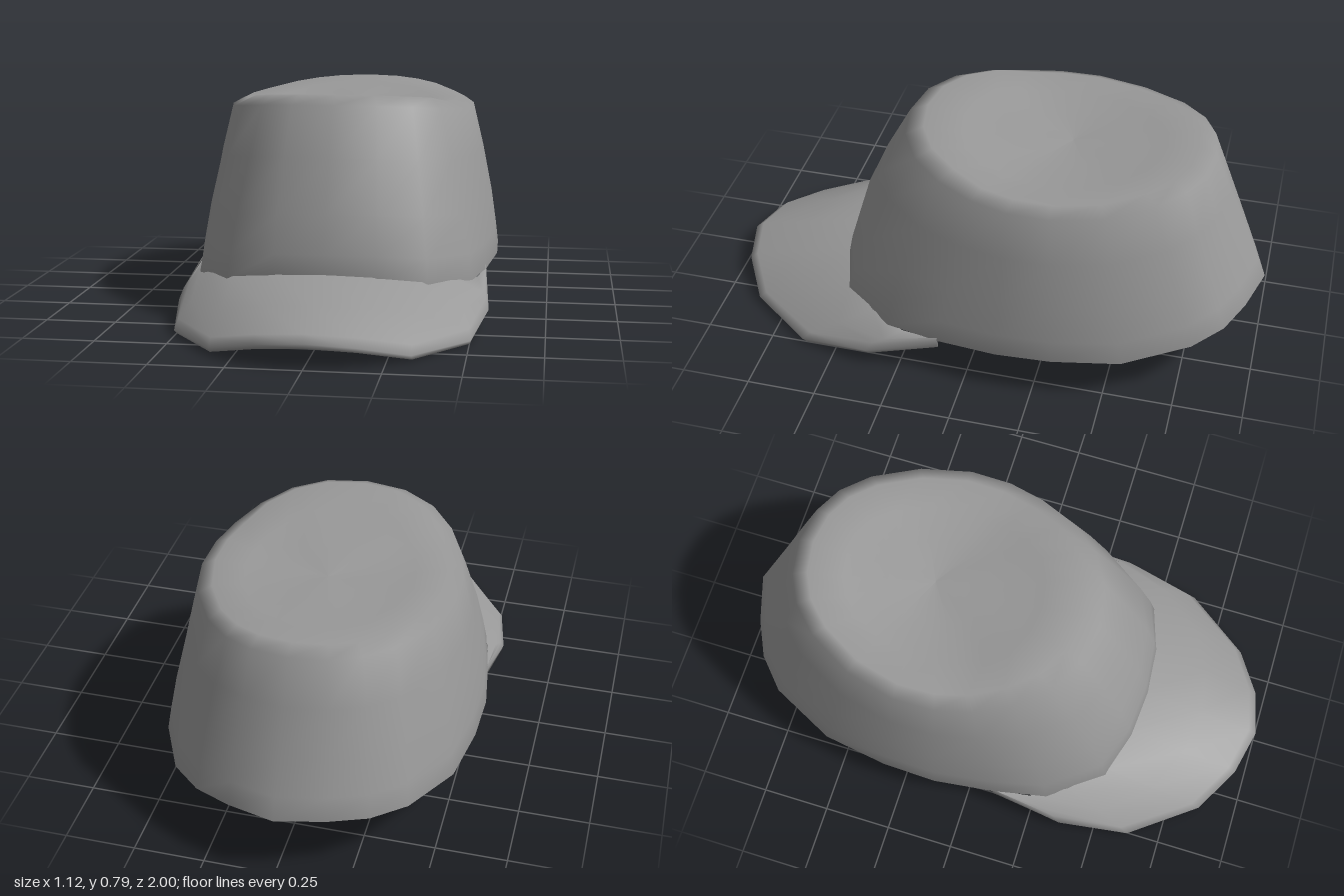
import * as THREE from 'three';

// Mirror a half outline (x >= 0, starting and ending on x = 0) into a closed loop
const mirrorLoop = half => [...half, ...half.slice(1, -1).reverse().map(([x, y, z]) => [-x, y, z])];

// Smooth skin over rows of equal length
function skin(rows, wrap) {
  const n = rows[0].length, index = [];
  for (let r = 0; r < rows.length - 1; r++) {
    for (let i = 0; i < (wrap ? n : n - 1); i++) {
      const j = (i + 1) % n;
      const a = r * n + i, b = r * n + j, c = a + n, d = b + n;
      index.push(a, c, b, b, c, d);
    }
  }
  const g = new THREE.BufferGeometry();
  g.setAttribute('position', new THREE.Float32BufferAttribute(rows.flat(2), 3));
  g.setIndex(index);
  g.computeVertexNormals();
  return g;
}

const lerp = (a, b, t) => a.map((v, k) => v + (b[k] - v) * t);

export function createModel() {
  const cloth = new THREE.MeshStandardMaterial({ color: 0x999999, side: THREE.DoubleSide });
  cloth.name = 'grey cloth';
  const model = new THREE.Group();
  model.name = 'cap';
  const add = (name, geometry) => {
    const m = new THREE.Mesh(geometry, cloth);
    m.name = name;
    model.add(m);
  };

  // Crown outlines from back to front: lower rim and upper edge
  const rim = mirrorLoop([
    [0, 0.255, -1], [0.17, 0.245, -0.95], [0.3, 0.235, -0.89], [0.41, 0.225, -0.79],
    [0.52, 0.19, -0.56], [0.555, 0.178, -0.32], [0.56, 0.172, -0.12], [0.53, 0.16, 0.1],
    [0.49, 0.16, 0.3], [0.35, 0.18, 0.49], [0.18, 0.195, 0.545], [0, 0.2, 0.56]]);
  const edge = mirrorLoop([
    [0, 0.765, -0.78], [0.13, 0.762, -0.76], [0.23, 0.755, -0.71], [0.32, 0.745, -0.62],
    [0.41, 0.73, -0.46], [0.455, 0.725, -0.28], [0.452, 0.725, -0.13], [0.42, 0.73, 0],
    [0.36, 0.745, 0.13], [0.27, 0.76, 0.24], [0.15, 0.77, 0.31], [0, 0.772, 0.335]]);
  const centre = [0, 0.74, -0.27];

  // Wall ring at height t, bulging a little at the sides and front
  const wall = t => rim.map((p, i) => {
    const [x, y, z] = lerp(p, edge[i], t);
    const bulge = Math.sin(Math.PI * t);
    return [x * (1 + 0.022 * bulge), y, z > 0 ? z + 0.035 * bulge * z / 0.45 : z];
  });
  // Top ring shrunk towards the slightly sunken centre
  const top = (s, lift) => edge.map(p => {
    const [x, y, z] = lerp(centre, p, s);
    return [x, y + lift * (1 + (z > 0 ? 0.5 : 0)), z];
  });
  const lip = rim.map(([x, y, z]) => [x * 0.975, y + 0.003, -0.2 + (z + 0.2) * 0.975]);
  add('crown', skin([
    lip, rim, wall(0.15), wall(0.38), wall(0.7), edge,
    top(0.89, 0.023), top(0.65, 0.012), top(0.33, 0.004), top(0, 0)], true));

  // Brim: inner and outer points from the middle to the side
  const inner = [[0, 0.222, 0.55], [0.17, 0.215, 0.535], [0.33, 0.195, 0.485],
    [0.44, 0.175, 0.37], [0.505, 0.16, 0.24], [0.525, 0.16, 0.1]];
  const outer = [[0, 0.095, 0.997], [0.165, 0.077, 0.96], [0.33, 0.033, 0.865],
    [0.505, 0.025, 0.63], [0.552, 0.068, 0.37], [0.53, 0.147, 0.1]];
  // Thin cross-section with a rounded outer edge
  const section = (a, b) => {
    const l = Math.hypot(b[0] - a[0], b[2] - a[2]);
    const k = Math.min(0.03 / l, 0.5);
    const at = (t, dy) => { const p = lerp(a, b, t); p[1] += dy; return p; };
    return [at(0, 0), at(0.5, 0.008), at(1 - k, 0.02), at(1, 0.004),
      at(1 - k * 0.6, -0.021), at(0.5, -0.025), at(0, -0.025)];
  };
  const half = inner.map((a, i) => section(a, outer[i]));
  const flip = half.slice(1).reverse().map(s => s.map(([x, y, z]) => [-x, y, z]));
  add('brim', skin([...flip, ...half].reverse(), true));

  return model;
}
